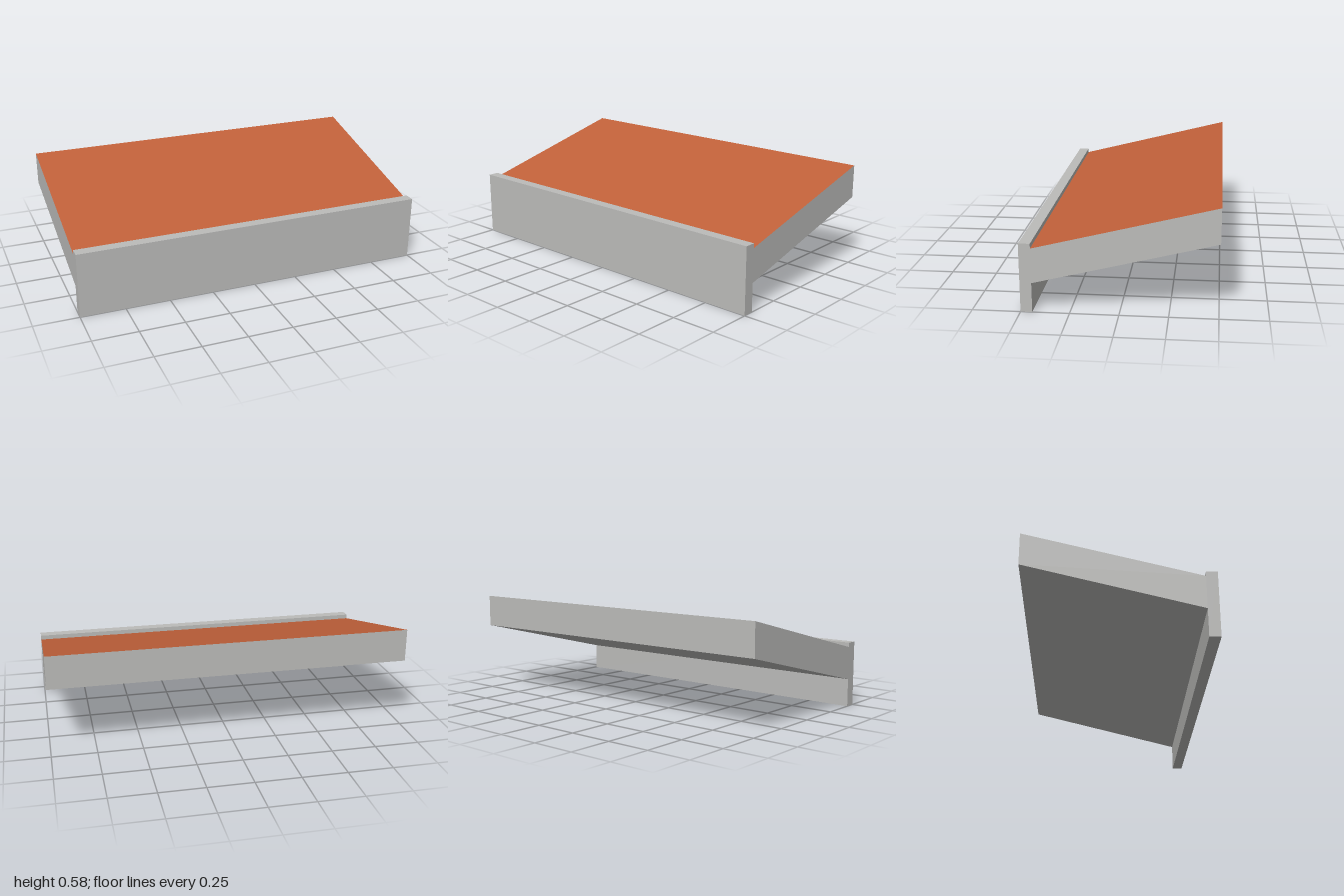
import * as THREE from 'three';

const WIDTH = 2;
const BACK = -0.5, FRONT = 0.5, WALL = 0.06;

export function createModel() {
  const concrete = new THREE.MeshStandardMaterial({ color: 0xbcbcba });
  concrete.name = 'concrete grey';
  const tile = new THREE.MeshStandardMaterial({ color: 0xc1613a });
  tile.name = 'terracotta';

  const model = new THREE.Group();
  model.name = 'canopyRoof';

  // Upright fascia along the front edge
  const fasciaHeight = 0.366;
  const fascia = new THREE.Mesh(new THREE.BoxGeometry(WIDTH, fasciaHeight, WALL), concrete);
  fascia.name = 'frontFascia';
  fascia.position.set(0, fasciaHeight / 2, FRONT - WALL / 2);
  model.add(fascia);

  // Roof slab: a box sheared so it rises towards the back, ends staying vertical
  const depth = FRONT - WALL - BACK;
  const thickness = 0.184, rise = 0.236;
  const slabGeometry = new THREE.BoxGeometry(WIDTH, thickness, depth);
  const p = slabGeometry.attributes.position;
  for (let i = 0; i < p.count; i++) {
    p.setY(i, p.getY(i) - (rise * p.getZ(i)) / depth);
  }
  slabGeometry.computeVertexNormals();

  // Only the upper face is tiled (+x, -x, +y, -y, +z, -z)
  const slab = new THREE.Mesh(slabGeometry, [concrete, concrete, tile, concrete, concrete, concrete]);
  slab.name = 'slopedRoofSlab';
  slab.position.set(0, 0.577 - thickness / 2 - rise / 2, BACK + depth / 2);
  model.add(slab);

  return model;
}
